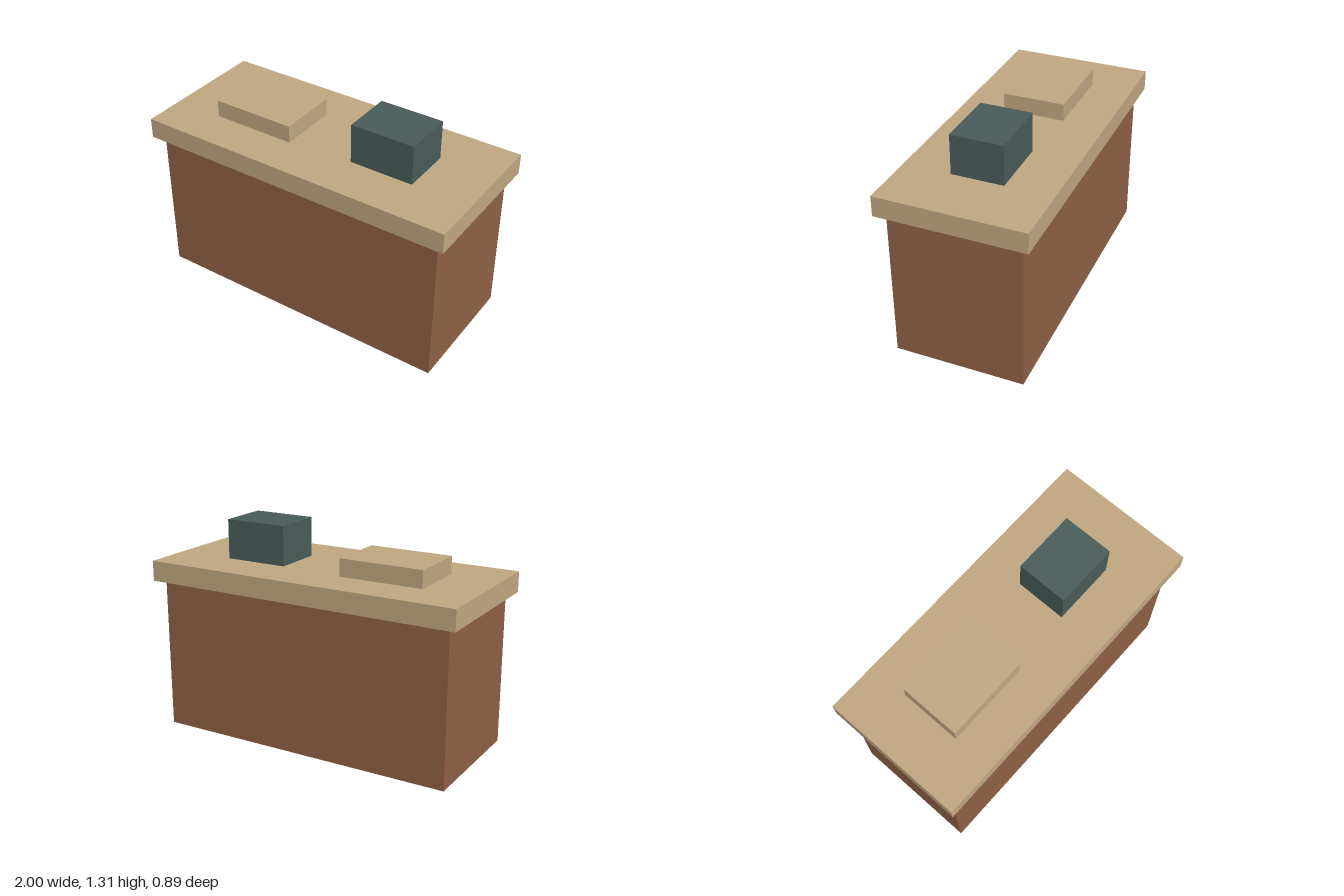
import * as THREE from 'three';

export function createModel() {
  const group = new THREE.Group();
  const makeMaterial = (name, color) => {
    const material = new THREE.MeshStandardMaterial({ color });
    material.name = name;
    return material;
  };
  const brown = makeMaterial('brown wood', 0x8f6045);
  const tan = makeMaterial('tan wood', 0xbfa680);
  const teal = makeMaterial('dark teal', 0x485c59);

  // Adds a block standing on the height y
  const addBlock = (name, material, [w, h, d], x, y) => {
    const mesh = new THREE.Mesh(new THREE.BoxGeometry(w, h, d), material);
    mesh.name = name;
    mesh.position.set(x, y + h / 2, 0);
    group.add(mesh);
  };

  const bodyHeight = 0.94;
  const topHeight = 0.125;
  const surface = bodyHeight + topHeight;

  // Counter
  addBlock('counterBody', brown, [1.89, bodyHeight, 0.79], 0, 0);
  addBlock('counterTop', tan, [2, topHeight, 0.893], 0, bodyHeight);

  // Objects on the counter
  addBlock('tray', tan, [0.525, 0.107, 0.38], -0.423, surface);
  addBlock('register', teal, [0.397, 0.243, 0.315], 0.44, surface);

  return group;
}
